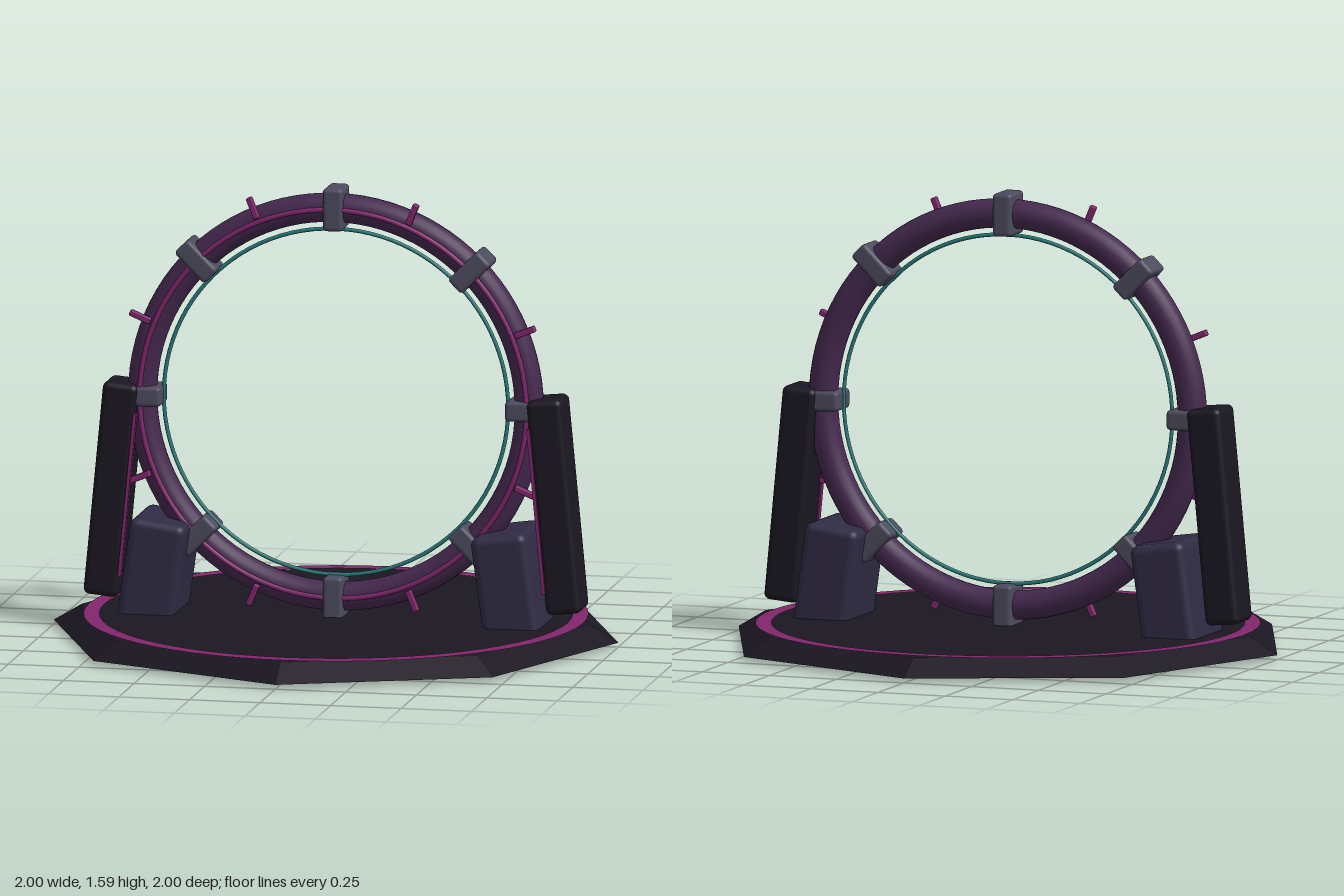
import * as THREE from 'three';
import { RoundedBoxGeometry } from 'three/addons/geometries/RoundedBoxGeometry.js';

const mat = (color, extra = {}) => new THREE.MeshStandardMaterial({ color, ...extra });

export function createModel() {
  const model = new THREE.Group();
  const dark = mat(0x1b1722);
  const purple = mat(0x45294f);
  const slate = mat(0x4d4b5e);
  const indigo = mat(0x302b45);
  const magenta = mat(0x80266c);
  const cyan = mat(0x2a7c7c);

  const add = (name, geometry, material, x = 0, y = 0, z = 0, parent = model) => {
    const mesh = new THREE.Mesh(geometry, material);
    mesh.name = name;
    mesh.position.set(x, y, z);
    parent.add(mesh);
    return mesh;
  };

  // Octagonal platform with a painted ring
  add('platform', new THREE.CylinderGeometry(0.9, 1, 0.06, 8), mat(0x1b1722, { flatShading: true }), 0, 0.04, 0);
  add('platformRing', new THREE.RingGeometry(0.82, 0.875, 64), mat(0x80266c, { side: THREE.DoubleSide }), 0, 0.073, 0)
    .rotation.x = -Math.PI / 2;

  // Upright gate: main hoop, front trim and thin inner hoop
  const gate = new THREE.Group();
  gate.name = 'gate';
  gate.position.y = 0.82;
  model.add(gate);
  const R = 0.685;
  add('hoop', new THREE.TorusGeometry(R, 0.051, 20, 96), purple, 0, 0, 0, gate);
  add('frontTrim', new THREE.TorusGeometry(R, 0.009, 8, 96), magenta, 0, 0, 0.049, gate);
  add('innerHoop', new THREE.TorusGeometry(0.61, 0.007, 8, 96), cyan, 0, 0, 0, gate);

  // Eight clamps, with small markers halfway between them
  const clampGeometry = new RoundedBoxGeometry(0.15, 0.07, 0.13, 3, 0.014);
  const markerGeometry = new RoundedBoxGeometry(0.078, 0.022, 0.024, 2, 0.005);
  for (let i = 0; i < 8; i++) {
    const a = (i * Math.PI) / 4;
    const b = a + Math.PI / 8;
    add('clamp', clampGeometry, slate, R * Math.cos(a), R * Math.sin(a), 0, gate).rotation.z = a;
    add('marker', markerGeometry, magenta, 0.738 * Math.cos(b), 0.738 * Math.sin(b), 0.055, gate).rotation.z = b;
  }

  // Leaning pylons and feet on both sides
  for (const s of [1, -1]) {
    const side = s > 0 ? 'left' : 'right';
    const pylon = new THREE.Group();
    pylon.name = side + 'Pylon';
    pylon.position.set(s * 0.785, 0.49, 0);
    pylon.rotation.z = s * 0.095;
    model.add(pylon);
    add(side + 'PylonBody', new RoundedBoxGeometry(0.125, 0.755, 0.155, 4, 0.022), dark, 0, 0, 0, pylon);
    add(side + 'PylonStrip', new THREE.BoxGeometry(0.012, 0.58, 0.022), magenta, -s * 0.062, -0.01, 0.068, pylon);

    add(side + 'Foot', new RoundedBoxGeometry(0.2, 0.395, 0.3, 4, 0.03), indigo, s * 0.628, 0.2, 0)
      .rotation.z = s * 0.14;
  }
  return model;
}
